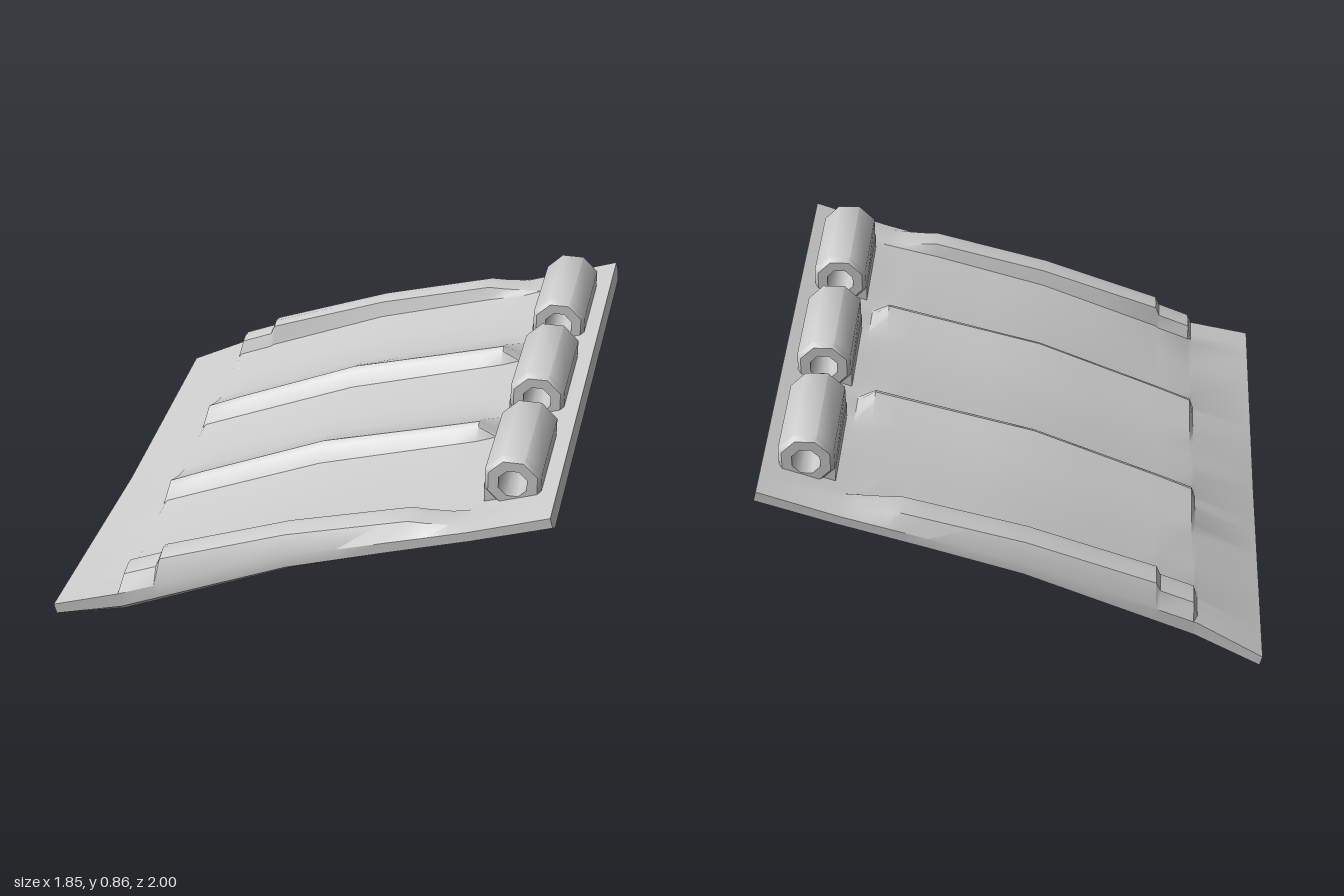
import * as THREE from 'three';
import { toCreasedNormals } from 'three/addons/utils/BufferGeometryUtils.js';

const material = new THREE.MeshStandardMaterial({ color: 0xcccccc });

// Linear interpolation through [x, y] knots
function lerpKnots(knots, x) {
  if (x <= knots[0][0]) return knots[0][1];
  for (let i = 1; i < knots.length; i++) {
    const [x0, y0] = knots[i - 1], [x1, y1] = knots[i];
    if (x <= x1) return y0 + (y1 - y0) * (x - x0) / (x1 - x0);
  }
  return knots[knots.length - 1][1];
}

// Side profiles of the sloping plate
const topLine = [[-0.925, 0.065], [-0.68, 0.2], [-0.05, 0.46], [0.3, 0.565], [0.62, 0.66], [0.91, 0.76]];
const bottomLine = [[-0.925, 0.005], [-0.68, 0.115], [-0.05, 0.39], [0.3, 0.505], [0.62, 0.605], [0.91, 0.7]];
// Ridge heights along the plate
const innerRidge = [[-0.68, 0], [-0.665, 0.07], [-0.54, 0.075], [-0.05, 0.08], [0.3, 0.07], [0.55, 0.065], [0.62, 0]];
const edgeRidge = [[-0.68, 0], [-0.665, 0.07], [-0.54, 0.07], [-0.525, 0.105], [-0.05, 0.08],
  [0.4, 0.065], [0.46, 0.045], [0.62, 0]];
const stations = [-0.925, -0.68, -0.665, -0.54, -0.525, -0.3, -0.05, 0.15, 0.3, 0.4, 0.46, 0.55, 0.62, 0.91];

// Cross-section: [z, weight, is edge ridge]
const edgeSection = [[0.975, 0], [0.935, 0.85], [0.88, 1], [0.845, 0.9], [0.825, 0.15]];
const innerSection = [[-0.19, 0.05], [-0.12, 0.3], [-0.04, 0.75], [0, 1], [0.025, 0.85], [0.06, 0.2], [0.16, 0.03]];
const section = [
  ...edgeSection.map(([z, w]) => [-z, w, true]),
  [-0.65, 0, false],
  ...innerSection.map(([z, w]) => [z - 0.28, w, false]),
  [0, 0, false],
  ...innerSection.map(([z, w]) => [z + 0.3, w, false]),
  [0.65, 0, false],
  ...edgeSection.map(([z, w]) => [z, w, true]).reverse(),
];

function plateGeometry() {
  const positions = [], index = [];
  const rings = stations.map((x) => {
    const low = THREE.MathUtils.clamp((-0.68 - x) / 0.245, 0, 1);
    const flare = 1 + 0.025 * low;
    // One corner of the low end is lifted
    const twist = (z) => 0.07 * low * Math.max(0, z);
    const top = lerpKnots(topLine, x), bottom = lerpKnots(bottomLine, x);
    const ring = section.map(([z, w, edge]) =>
      [x, top + twist(z) + w * lerpKnots(edge ? edgeRidge : innerRidge, x), z * flare]);
    // Rim and chamfered underside
    for (const [z, t] of [[0.975, 0.35], [0.94, 0], [0, 0], [-0.94, 0], [-0.975, 0.35]]) {
      ring.push([x + 0.015 * (1 - t), bottom + (top - bottom) * t + twist(z), z * flare]);
    }
    return ring;
  });
  const n = rings[0].length;
  rings.forEach((ring) => ring.forEach((p) => positions.push(...p)));
  for (let i = 0; i < rings.length - 1; i++) {
    for (let j = 0; j < n; j++) {
      const a = i * n + j, b = i * n + (j + 1) % n;
      index.push(a, b, a + n, b, b + n, a + n);
    }
  }
  // End caps
  for (const i of [0, rings.length - 1]) {
    const centre = positions.length / 3;
    positions.push(stations[i] + 0.007, (lerpKnots(topLine, stations[i]) + lerpKnots(bottomLine, stations[i])) / 2, 0);
    for (let j = 0; j < n; j++) {
      const a = i * n + j, b = i * n + (j + 1) % n;
      if (i === 0) index.push(centre, b, a);
      else index.push(centre, a, b);
    }
  }
  const geometry = new THREE.BufferGeometry();
  geometry.setAttribute('position', new THREE.Float32BufferAttribute(positions, 3));
  geometry.setIndex(index);
  return toCreasedNormals(geometry, 0.6);
}

// Eight-sided hinge sleeve with a through hole and bevelled ends
function hingeGeometry(length) {
  const h = length / 2;
  const profile = [[0.055, -h], [0.095, -h], [0.11, 0.02 - h], [0.11, h - 0.02], [0.095, h], [0.055, h], [0.055, -h]]
    .map(([r, y]) => new THREE.Vector2(r, y));
  const geometry = new THREE.LatheGeometry(profile, 8, Math.PI / 8);
  geometry.rotateX(Math.PI / 2);
  return toCreasedNormals(geometry, 0.85);
}

// Small fillet joining a sleeve to the plate
function footGeometry(length) {
  const shape = new THREE.Shape([[-0.105, -0.03], [-0.1, -0.12], [-0.02, -0.1], [-0.05, -0.07]]
    .map(([x, y]) => new THREE.Vector2(x, y)));
  return new THREE.ExtrudeGeometry(shape, { depth: length, bevelEnabled: false }).translate(0, 0, -length / 2);
}

export function createModel() {
  const model = new THREE.Group();
  model.name = 'hingedRibbedPanel';

  const plate = new THREE.Mesh(plateGeometry(), material);
  plate.name = 'ribbedPlate';
  model.add(plate);

  [-0.59, -0.005, 0.585].forEach((z) => {
    const hinge = new THREE.Group();
    hinge.name = 'hinge';
    const sleeve = new THREE.Mesh(hingeGeometry(0.425), material);
    sleeve.name = 'hingeSleeve';
    const foot = new THREE.Mesh(footGeometry(0.39), material);
    foot.name = 'hingeFoot';
    hinge.add(sleeve, foot);
    hinge.position.set(0.75, 0.768, z);
    model.add(hinge);
  });
  return model;
}
